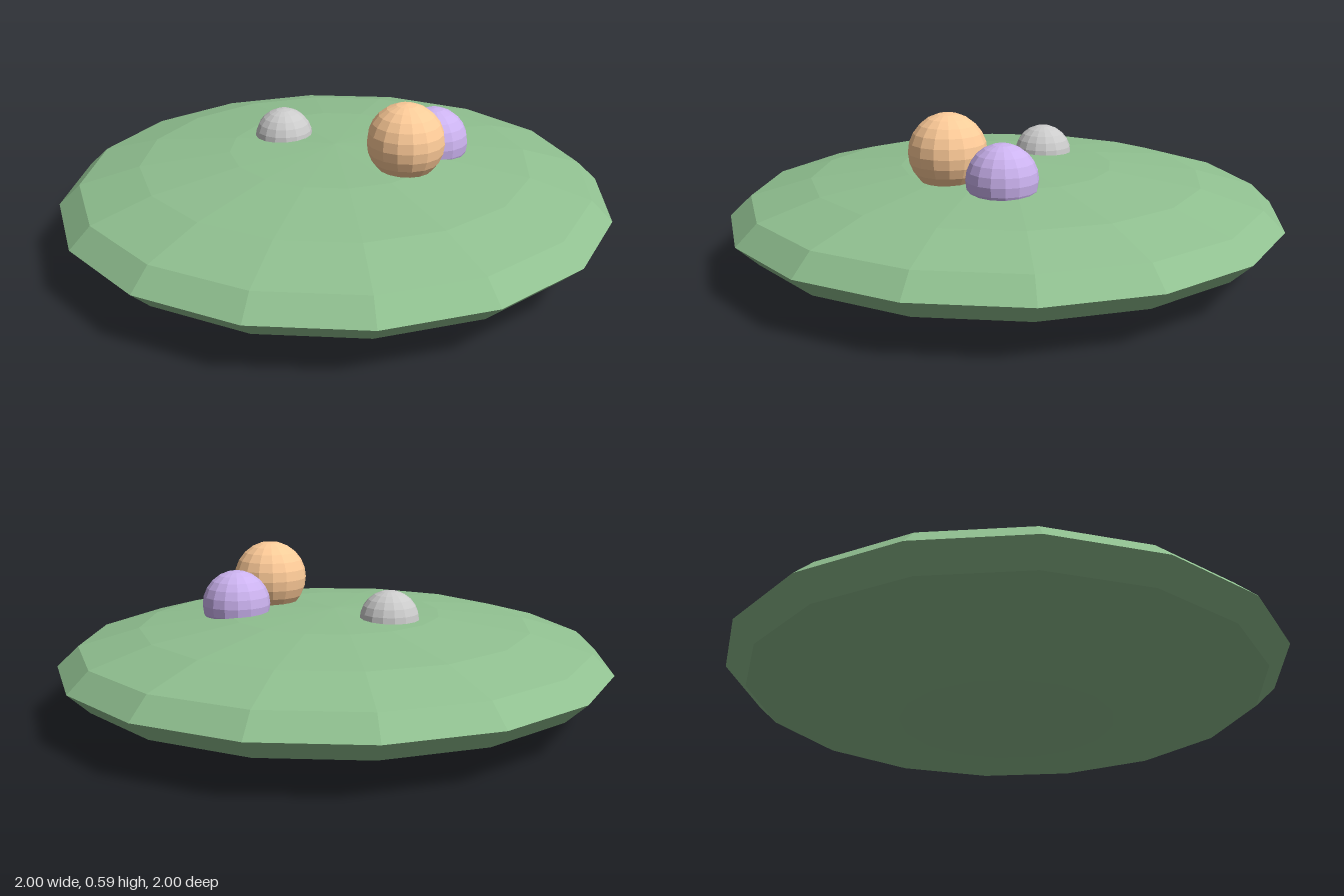
import * as THREE from 'three';

// faceted ball; h is the vertical half-height
function ball(name, color, r, h, pos, rows) {
  const mesh = new THREE.Mesh(
    new THREE.SphereGeometry(r, 16, rows).scale(1, h / r, 1),
    new THREE.MeshStandardMaterial({ color, flatShading: true })
  );
  mesh.name = name;
  mesh.position.set(...pos);
  return mesh;
}

export function createModel() {
  const model = new THREE.Group();
  model.name = 'islandWithBalls';

  // flattened mound
  model.add(ball('mound', 0x90c090, 1, 0.188, [0, 0.19, 0], 8));

  // balls resting partly sunk into the mound
  model.add(ball('orangeBall', 0xffcc99, 0.136, 0.136, [0.31, 0.46, 0], 12));
  model.add(ball('purpleBall', 0xccb3f0, 0.123, 0.123, [0.283, 0.393, -0.22], 12));
  model.add(ball('greyBall', 0xcccccc, 0.107, 0.107, [-0.233, 0.36, 0.013], 12));

  return model;
}
